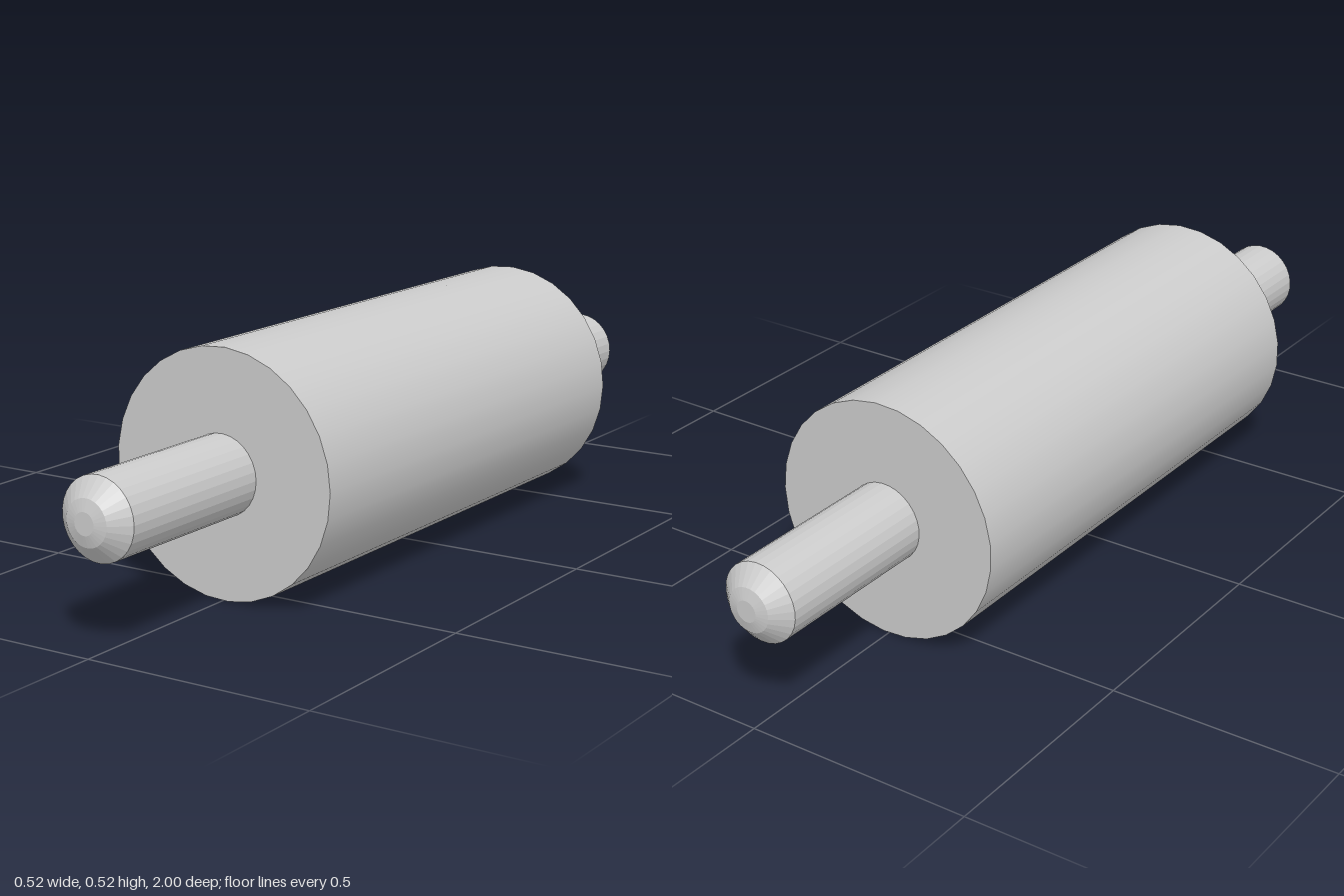
import * as THREE from 'three';

const SIDES = 29;
const RADIUS = 0.262;

export function createModel() {
  const group = new THREE.Group();
  group.name = 'roller';

  // Thick drum with smooth sides, lying along z
  const drumGeometry = new THREE.CylinderGeometry(RADIUS, RADIUS, 1.155, SIDES, 1, false, Math.PI / 2);
  drumGeometry.rotateX(Math.PI / 2);
  const drum = new THREE.Mesh(drumGeometry, new THREE.MeshStandardMaterial({ color: 0xcccccc }));
  drum.name = 'drum';
  group.add(drum);

  // Faceted axle through the drum, with a blunt rounded tip at each end
  const tip = [[0.086, 0.96], [0.048, 0.993], [0.023, 1], [0, 1]];
  const profile = [
    ...tip.slice().reverse().map(([r, z]) => new THREE.Vector2(r, -z)),
    ...tip.map(([r, z]) => new THREE.Vector2(r, z)),
  ];
  const axleGeometry = new THREE.LatheGeometry(profile, SIDES, Math.PI / 2);
  axleGeometry.rotateX(Math.PI / 2);
  const axle = new THREE.Mesh(axleGeometry, new THREE.MeshStandardMaterial({ color: 0xcccccc, flatShading: true }));
  axle.name = 'axle';
  group.add(axle);

  // Rest the drum on the ground
  group.position.y = RADIUS;
  return group;
}
